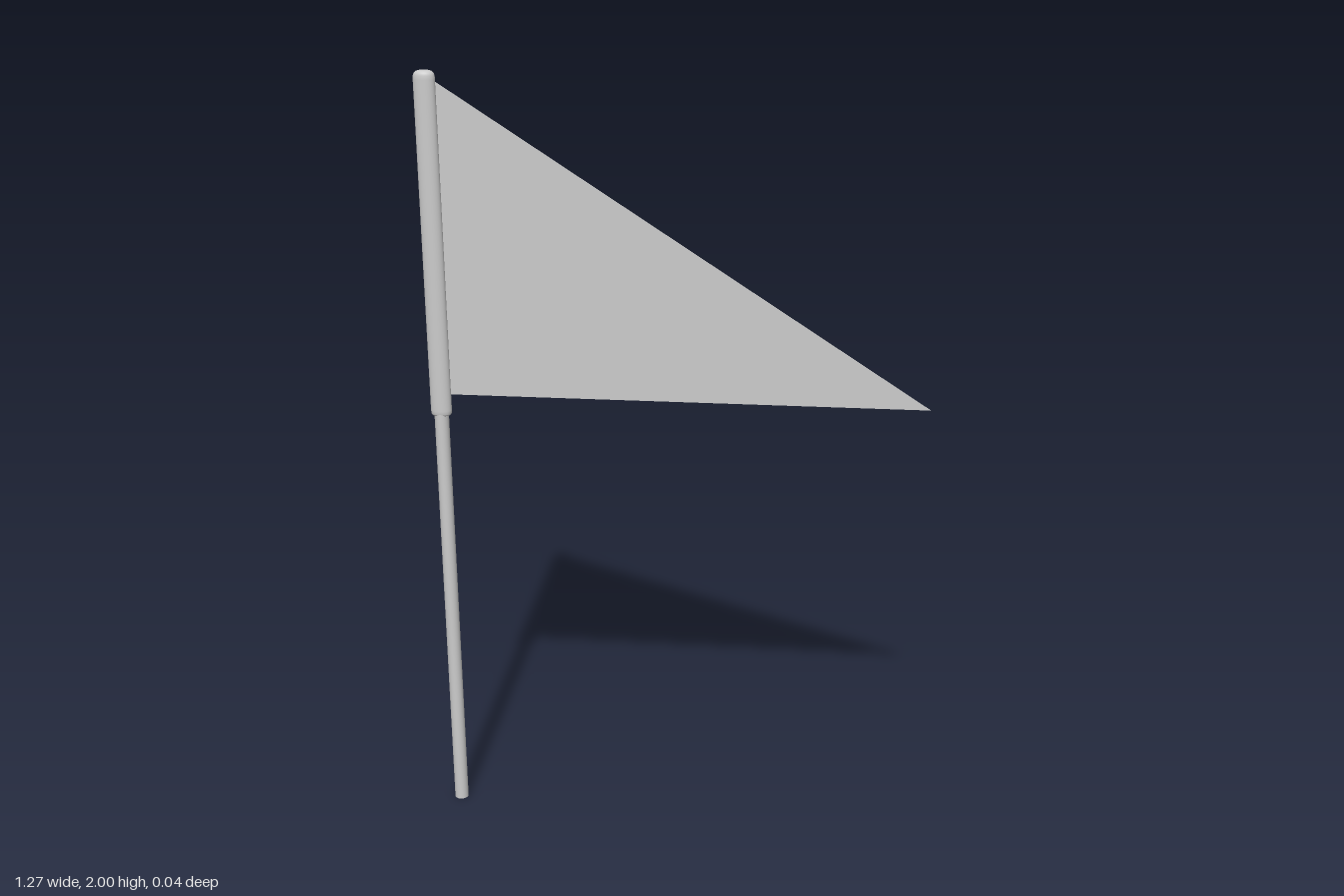
import * as THREE from 'three';

const POLE_X = -0.608;

export function createModel() {
  const group = new THREE.Group();
  group.name = 'pennantFlag';
  const material = new THREE.MeshStandardMaterial({ color: 0xcccccc });
  const clothMaterial = new THREE.MeshStandardMaterial({ color: 0xcccccc, side: THREE.DoubleSide });

  const add = (name, geometry, mat = material) => {
    const mesh = new THREE.Mesh(geometry, mat);
    mesh.name = name;
    group.add(mesh);
    return mesh;
  };

  // Round pole, running up inside the sleeve
  const pole = add('pole', new THREE.CylinderGeometry(0.0185, 0.0185, 1.97, 32));
  pole.position.set(POLE_X, 0.985, 0);

  // Oval cloth sleeve with softened ends: unit-radius profile scaled to an ellipse
  const profile = [
    [0, 1.132], [0.88, 1.132], [0.97, 1.136], [1, 1.145],
    [1, 1.978], [0.97, 1.988], [0.88, 1.994], [0.7, 1.998], [0.4, 2], [0, 2],
  ].map(([r, y]) => new THREE.Vector2(r, y));
  const sleeve = add('sleeve', new THREE.LatheGeometry(profile, 32).scale(0.027, 1, 0.019));
  sleeve.position.x = POLE_X;

  // Thin triangular pennant, its hoist edge tucked into the sleeve
  const outline = new THREE.Shape([
    new THREE.Vector2(-0.6, 1.187),
    new THREE.Vector2(0.635, 1.187),
    new THREE.Vector2(-0.6, 1.985),
  ]);
  add('pennant', new THREE.ShapeGeometry(outline), clothMaterial);

  return group;
}
